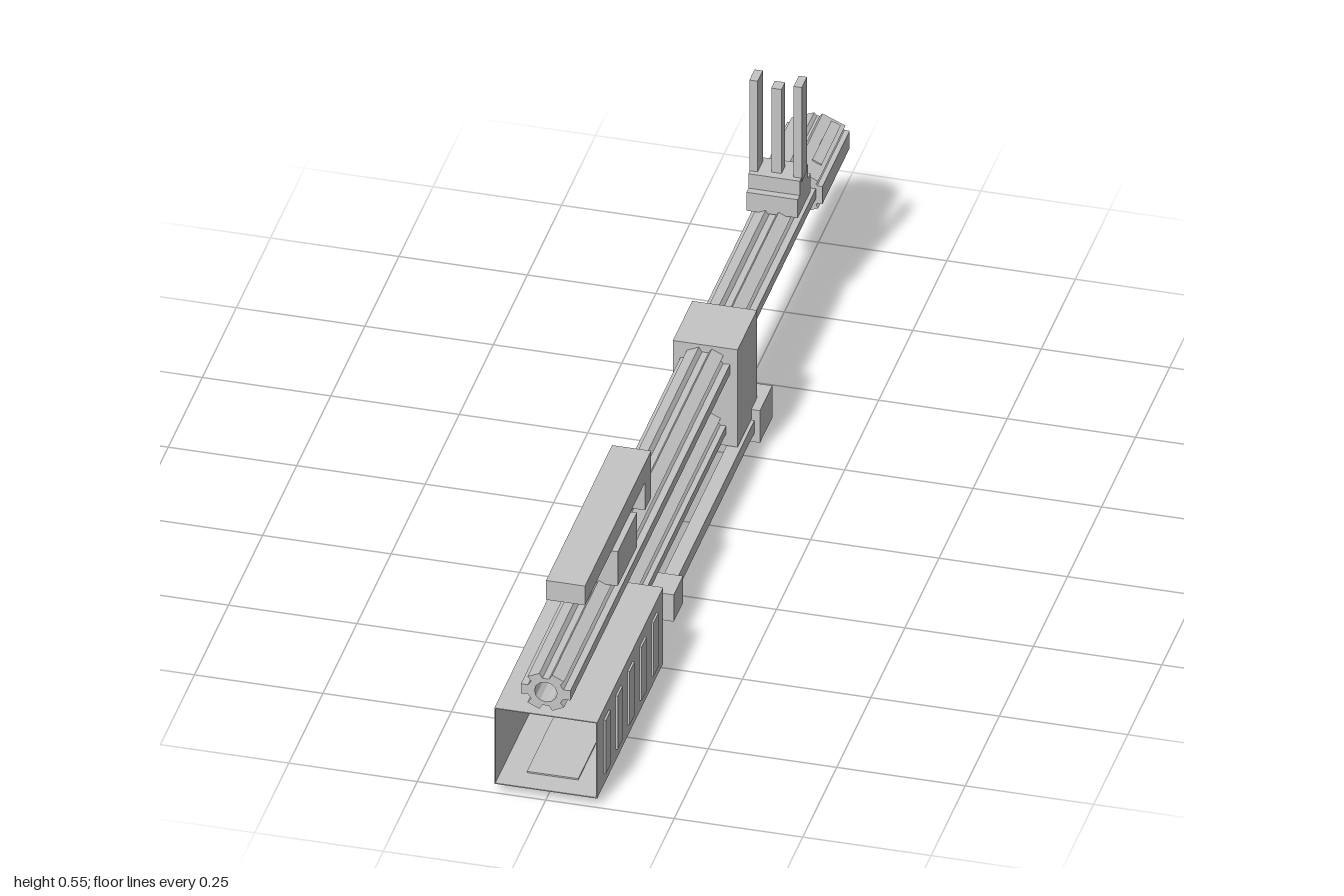
import * as THREE from 'three';

export function createModel() {
  const model = new THREE.Group();
  model.name = 'barrelAssembly';
  const grey = new THREE.MeshStandardMaterial({ color: 0xc5c5c5, flatShading: true, side: THREE.DoubleSide });
  grey.name = 'light grey metal';

  const add = (name, geometry) => {
    const mesh = new THREE.Mesh(geometry, grey);
    mesh.name = name;
    model.add(mesh);
    return mesh;
  };
  // Box given by its limits on each axis
  const box = (name, x0, x1, y0, y1, z0, z1) =>
    add(name, new THREE.BoxGeometry(x1 - x0, y1 - y0, z1 - z0))
      .position.set((x0 + x1) / 2, (y0 + y1) / 2, (z0 + z1) / 2);

  // Six-lobed fluted tube along z, slightly flattened in height
  function fluted(name, rx, ry, inner, lobe, bore, y, z0, z1) {
    const points = [];
    for (let i = 0; i < 6; i++) {
      for (const [offset, r] of [[-lobe - 0.08, inner], [-lobe, 1], [lobe, 1], [lobe + 0.08, inner]]) {
        const a = i * Math.PI / 3 + offset;
        points.push(new THREE.Vector2(Math.cos(a) * r * rx, Math.sin(a) * r * ry));
      }
    }
    const shape = new THREE.Shape(points);
    if (bore) shape.holes.push(new THREE.Path().absarc(0, 0, bore, 0, Math.PI * 2, true));
    const geometry = new THREE.ExtrudeGeometry(shape, { depth: z1 - z0, bevelEnabled: false, curveSegments: 6 });
    add(name, geometry).position.set(0, y, z0);
  }

  // Barrel, lower tube and muzzle
  fluted('barrel', 0.05, 0.041, 0.74, 0.27, 0.022, 0.242, -0.96, 1);
  fluted('lowerTube', 0.042, 0.034, 0.75, 0.27, 0, 0.105, -0.2, 0.53);
  fluted('muzzle', 0.066, 0.05, 0.87, 0.4, 0.014, 0.24, -1, -0.8);
  const slot = add('muzzleSlot', new THREE.BoxGeometry(0.02, 0.006, 0.14));
  slot.position.set(0.036, 0.277, -0.92);
  slot.rotation.z = -0.42;

  // Handguard: thin square sleeve, open at the front, closed at the back
  box('handguardTop', -0.1, 0.1, 0.188, 0.19, 0.515, 1);
  box('handguardFloor', -0.1, 0.1, 0.02, 0.022, 0.515, 1);
  box('handguardBack', -0.1, 0.1, 0.02, 0.19, 0.515, 0.517);
  box('handguardBasePlate', -0.05, 0.05, 0, 0.025, 0.57, 0.95);
  for (const s of [-1, 1]) {
    const wall = s * 0.099, face = s * 0.102;
    box('handguardWall', wall - 0.001, wall + 0.001, 0.02, 0.19, 0.515, 1);
    for (let i = 0; i < 5; i++) {
      const z = 0.583 + i * 0.0875;
      box('handguardVent', face - 0.002, face + 0.002, 0.045, 0.165, z - 0.018, z + 0.018);
    }
  }

  // Top handle on its mount
  box('handleMount', -0.05, 0.05, 0.275, 0.352, 0.52, 0.66);
  box('handleBar', -0.038, 0.038, 0.352, 0.395, 0.37, 0.855);
  box('handleLug', -0.038, 0.038, 0.29, 0.352, 0.37, 0.415);

  // Block joining the two tubes
  box('tubeBlock', -0.063, 0.063, 0.07, 0.288, -0.312, -0.17);

  // Folded support legs
  box('legHinge', -0.08, 0.08, 0.02, 0.092, -0.36, -0.27);
  for (const s of [-1, 1]) {
    const x = s * 0.055;
    box('leg', x - 0.014, x + 0.014, 0.04, 0.068, -0.28, 0.31);
    box('foot', x - 0.026, x + 0.026, 0.017, 0.077, 0.298, 0.366);
  }

  // Post sight
  box('sightBase', -0.05, 0.05, 0.275, 0.316, -0.755, -0.66);
  box('sightStep', -0.05, 0.05, 0.316, 0.348, -0.737, -0.675);
  box('sightPost', -0.01, 0.01, 0.34, 0.536, -0.718, -0.692);
  for (const s of [-1, 1]) {
    const x = s * 0.043;
    box('sightEar', x - 0.008, x + 0.008, 0.34, 0.551, -0.724, -0.686);
  }
  return model;
}
